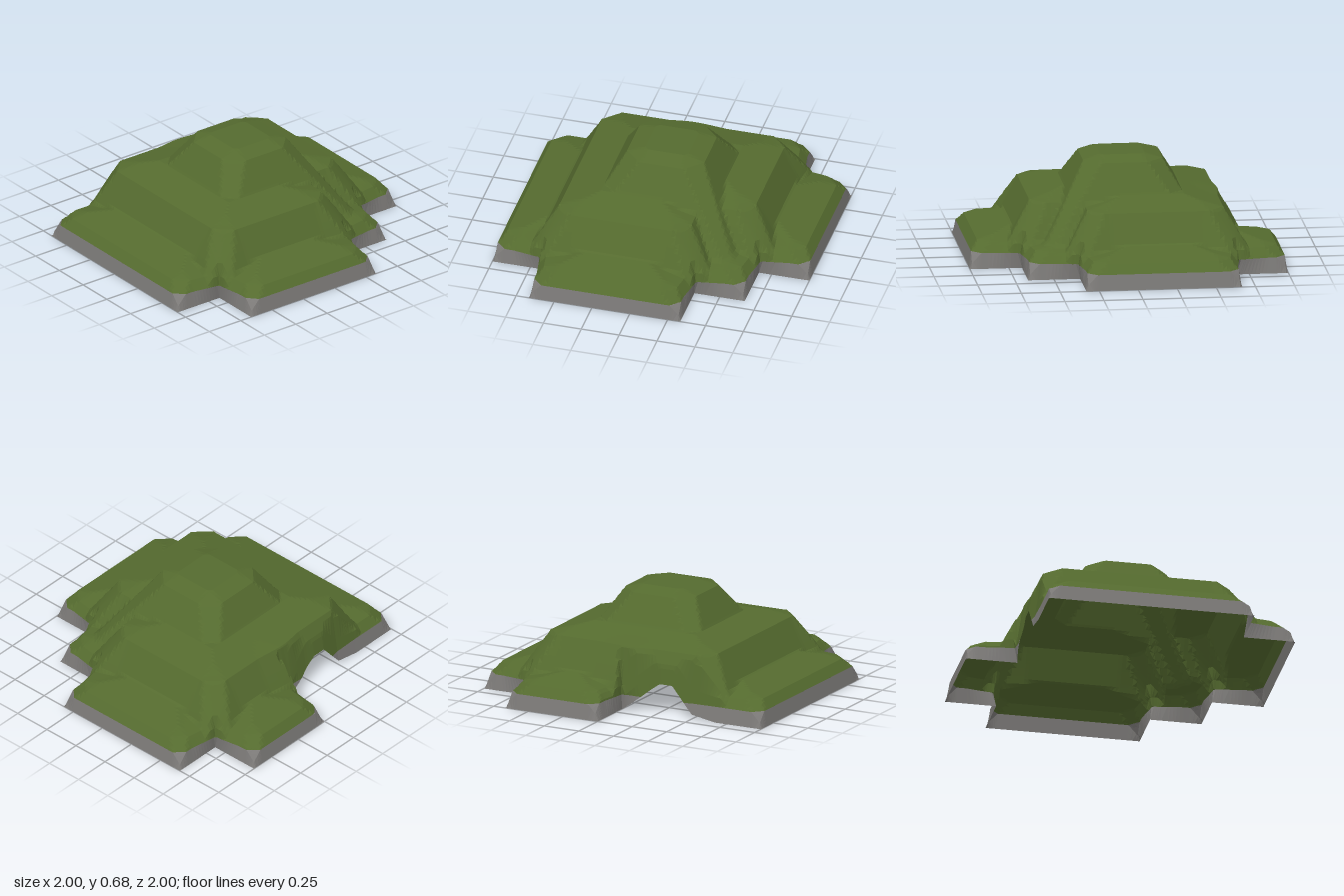
import * as THREE from 'three';

const T = 1 / 3; // tile size

// Outside areas of each tier, as [side x, side z, limit x, limit z] in tiles; a side of 0 means a half plane.
const square = (n) => [[1, 0, n, 0], [-1, 0, n, 0], [0, 1, 0, n], [0, -1, 0, n]];
const notches = [[1, -1, 1, 2], [1, -1, 2, 1], [1, 1, 2, 2], [-1, 1, 2, 0], [-1, -1, 2, 2]];

// Each tier: side slope (inset, height) and chamfered corner slope (sum of two insets, height)
const tiers = [
  { out: [...square(3), ...notches],
    side: [[0, 0], [0.015, 0.1], [0.06, 0.16], [0.3, 0.22]],
    corner: [[0, 0], [0.09, 0.1], [0.2, 0.16], [0.5, 0.22]] },
  { out: [...square(2), [1, -1, 1, 1]],
    side: [[-0.035, 0.22], [0.065, 0.405], [0.3, 0.465]],
    corner: [[0.054, 0.22], [0.23, 0.405], [0.55, 0.465]] },
  { out: square(1),
    side: [[-0.032, 0.465], [0.078, 0.65], [0.19, 0.68]],
    corner: [[0.02, 0.465], [0.26, 0.65], [0.4, 0.68]] },
];

// Piecewise line: continues downward before the first point, flat after the last
function along(points, t) {
  for (let i = 1; i < points.length; i++) {
    const [a, ya] = points[i - 1], [b, yb] = points[i];
    if (t <= b) return ya + (yb - ya) * (t - a) / (b - a);
  }
  return points[points.length - 1][1];
}

// Sorted distances from a point to a tier's outside areas
function insets(tier, x, z) {
  return tier.out.map(([sx, sz, bx, bz]) => Math.max(
    sx ? bx * T - sx * x : -9,
    sz ? bz * T - sz * z : -9,
  )).sort((a, b) => a - b);
}

// Lower rim of the exposed stretch on the right-hand flank
const rim = [[0, 0], [0.1, 0.08], [0.27, 0.2], [0.36, 0.2], [0.5, 0.03], [0.667, 0]];

function height(x, z) {
  let h = 0;
  for (const tier of tiers) {
    const [a, b] = insets(tier, x, z);
    h = Math.max(h, Math.min(along(tier.side, a), along(tier.corner, a + b)));
  }
  const edge = x < -0.5 && z > 0 && z < 0.667 ? along(rim, z) : 0;
  return Math.min(h, edge + 6.7 * Math.max(0, insets(tiers[0], x, z)[0]));
}

// Surface point, pushed outward near the inner corners
function point(x, z) {
  const y = height(x, z), p = new THREE.Vector3(x, y, z);
  for (const [sx, sz, bx, bz] of notches) {
    const near = Math.max(0, 1 - Math.hypot(x - sx * bx * T, z - sz * bz * T) / 0.2);
    const push = 0.03 * near * Math.min(1, y / 0.1);
    p.x += sx * push;
    p.z += sz * push;
  }
  return p;
}

// Grid lines: an even spacing plus every crease position
function gridLines() {
  const lines = [];
  for (let i = -42; i <= 42; i++) lines.push(i / 42);
  for (let b = 0; b <= 3; b++) {
    for (const o of [-0.19, -0.078, -0.065, -0.06, -0.015, 0, 0.033]) {
      const v = b * T + o;
      if (v <= 1 && v >= 0) lines.push(v, -v);
    }
  }
  lines.sort((a, b) => a - b);
  return lines.filter((v, i) => i === 0 || v - lines[i - 1] > 1e-6);
}

// Part of a triangle above (side 1) or below (side -1) the rock line
function clip(tri, side, level) {
  const kept = [];
  tri.forEach((p, i) => {
    const q = tri[(i + 1) % 3];
    const dp = (p.y - level) * side, dq = (q.y - level) * side;
    if (dp >= 0) kept.push(p);
    if (dp * dq < 0) kept.push(p.clone().lerp(q, dp / (dp - dq)));
  });
  return kept;
}

function addPolygon(list, poly) {
  for (let i = 2; i < poly.length; i++) {
    for (const p of [poly[0], poly[i - 1], poly[i]]) list.push(p.x, p.y, p.z);
  }
}

function makeMesh(name, positions, material) {
  const geometry = new THREE.BufferGeometry();
  geometry.setAttribute('position', new THREE.Float32BufferAttribute(positions, 3));
  geometry.computeVertexNormals();
  const mesh = new THREE.Mesh(geometry, material);
  mesh.name = name;
  return mesh;
}

export function createModel() {
  const grass = new THREE.MeshStandardMaterial({ name: 'grassGreen', color: 0x556b2f, side: THREE.DoubleSide });
  const rock = new THREE.MeshStandardMaterial({ name: 'rockGrey', color: 0x7d7b79, side: THREE.DoubleSide });

  const lines = gridLines();
  const points = lines.map((x) => lines.map((z) => point(x, z)));
  const upper = [], lower = [];

  for (let i = 0; i < lines.length - 1; i++) {
    for (let j = 0; j < lines.length - 1; j++) {
      const cx = (lines[i] + lines[i + 1]) / 2, cz = (lines[j] + lines[j + 1]) / 2;
      if (insets(tiers[0], cx, cz)[0] < 0) continue;
      const a = points[i][j], b = points[i][j + 1], c = points[i + 1][j + 1], d = points[i + 1][j];
      // Split along the flatter diagonal so creases stay clean
      const tris = Math.abs(a.y - c.y) < Math.abs(b.y - d.y)
        ? [[a, b, c], [a, c, d]]
        : [[a, b, d], [b, c, d]];
      for (const tri of tris) {
        addPolygon(upper, clip(tri, 1, 0.0999));
        addPolygon(lower, clip(tri, -1, 0.0999));
      }
    }
  }

  const group = new THREE.Group();
  group.name = 'terracedHill';
  group.add(makeMesh('grassTerraces', upper, grass), makeMesh('rockBase', lower, rock));
  return group;
}
